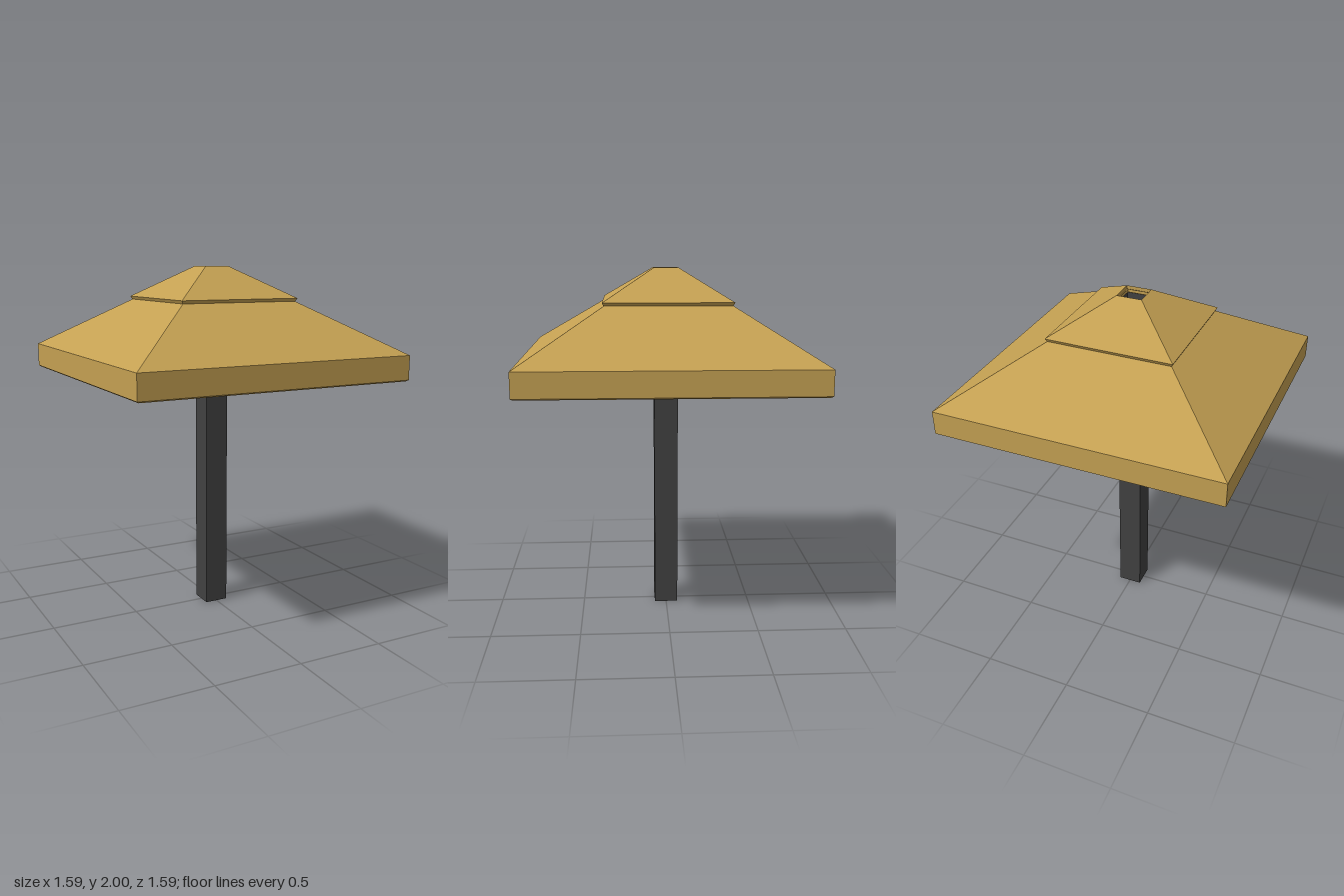
import * as THREE from 'three';

const ochre = new THREE.MeshStandardMaterial({ color: 0xc4a052, side: THREE.DoubleSide });
ochre.name = 'ochre';
const charcoal = new THREE.MeshStandardMaterial({ color: 0x414141, side: THREE.DoubleSide });
charcoal.name = 'charcoal';

// Sweeps a [half width, height] profile around a square, with flat faces
function squareSweep(name, profile, material) {
  const points = profile.map(([x, y]) => new THREE.Vector2(x * Math.SQRT2, y));
  const geometry = new THREE.LatheGeometry(points, 4, Math.PI / 4).toNonIndexed();
  geometry.computeVertexNormals();
  const mesh = new THREE.Mesh(geometry, material);
  mesh.name = name;
  return mesh;
}

export function createModel() {
  const model = new THREE.Group();
  model.name = 'squareParasol';

  // Hollow square pole, open at the top
  model.add(squareSweep('pole', [[0.068, 0], [0.068, 1.975]], charcoal));

  // Plate closing the foot of the pole
  const foot = new THREE.Mesh(new THREE.PlaneGeometry(0.136, 0.136).rotateX(Math.PI / 2), ochre);
  foot.name = 'footPlate';
  model.add(foot);

  // Main canopy shell with its vertical valance
  model.add(squareSweep('canopy', [
    [0.785, 1.385], [0.797, 1.393], [0.797, 1.527], [0.06, 1.985],
    [0.06, 1.968], [0.785, 1.517], [0.785, 1.385],
  ], ochre));

  // Smaller vent cap overlapping the canopy, with an open top
  model.add(squareSweep('ventCap', [
    [0.346, 1.808], [0.355, 1.825], [0.07, 2.0], [0.07, 1.981], [0.346, 1.808],
  ], ochre));

  return model;
}
